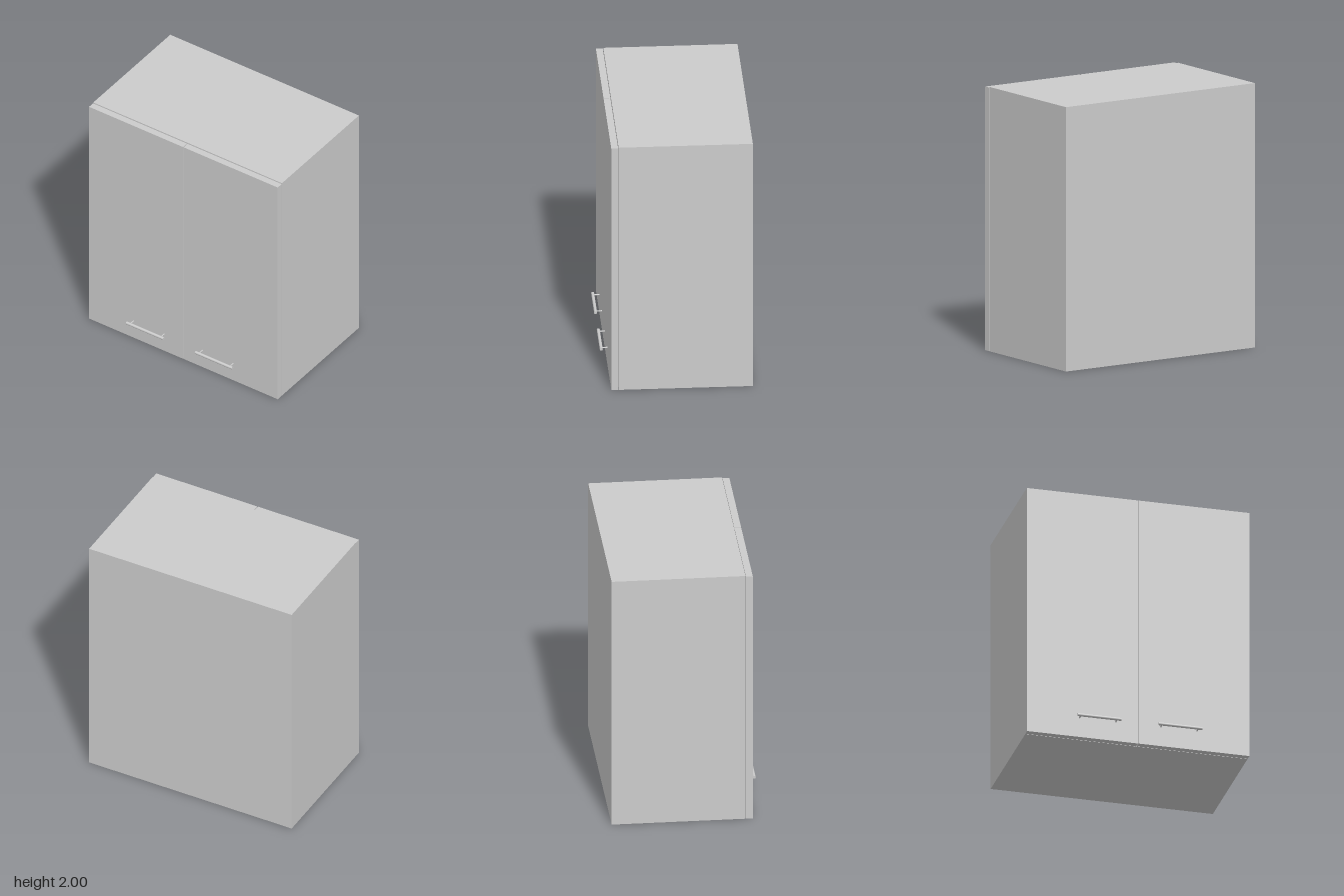
import * as THREE from 'three';

const material = new THREE.MeshStandardMaterial({ color: 0xcccccc });

function addMesh(parent, name, geometry, x, y, z) {
  const mesh = new THREE.Mesh(geometry, material);
  mesh.name = name;
  mesh.position.set(x, y, z);
  parent.add(mesh);
  return mesh;
}

// Round bar handle on two thin posts, centred on its bar
function createHandle(name) {
  const handle = new THREE.Group();
  handle.name = name;
  const bar = addMesh(handle, 'handleBar', new THREE.CylinderGeometry(0.0115, 0.0115, 0.335, 24), 0, 0, 0);
  bar.rotation.z = Math.PI / 2;
  for (const side of [-1, 1]) {
    const post = addMesh(handle, 'handlePost', new THREE.CylinderGeometry(0.005, 0.005, 0.05, 16), side * 0.139, 0, -0.025);
    post.rotation.x = Math.PI / 2;
  }
  return handle;
}

export function createModel() {
  const cabinet = new THREE.Group();
  cabinet.name = 'wallCabinet';

  // Closed cabinet body
  addMesh(cabinet, 'cabinetBody', new THREE.BoxGeometry(1.71, 2, 1.0), 0, 1, -0.058);

  // Pair of doors with a narrow gap between them, each with a handle
  for (const side of [-1, 1]) {
    const label = side > 0 ? 'left' : 'right';
    const door = new THREE.Group();
    door.name = label + 'DoorAssembly';
    addMesh(door, label + 'Door', new THREE.BoxGeometry(0.852, 1.994, 0.051), side * 0.429, 0.997, 0.4715);
    const handle = createHandle(label + 'Handle');
    handle.position.set(side * 0.312, 0.158, 0.5465);
    door.add(handle);
    cabinet.add(door);
  }

  // Small bumpers bridging the gap between the doors
  for (const y of [0.05, 0.95, 1.95]) {
    addMesh(cabinet, 'doorBumper', new THREE.BoxGeometry(0.006, 0.008, 0.008), 0, y, 0.455);
  }
  return cabinet;
}
